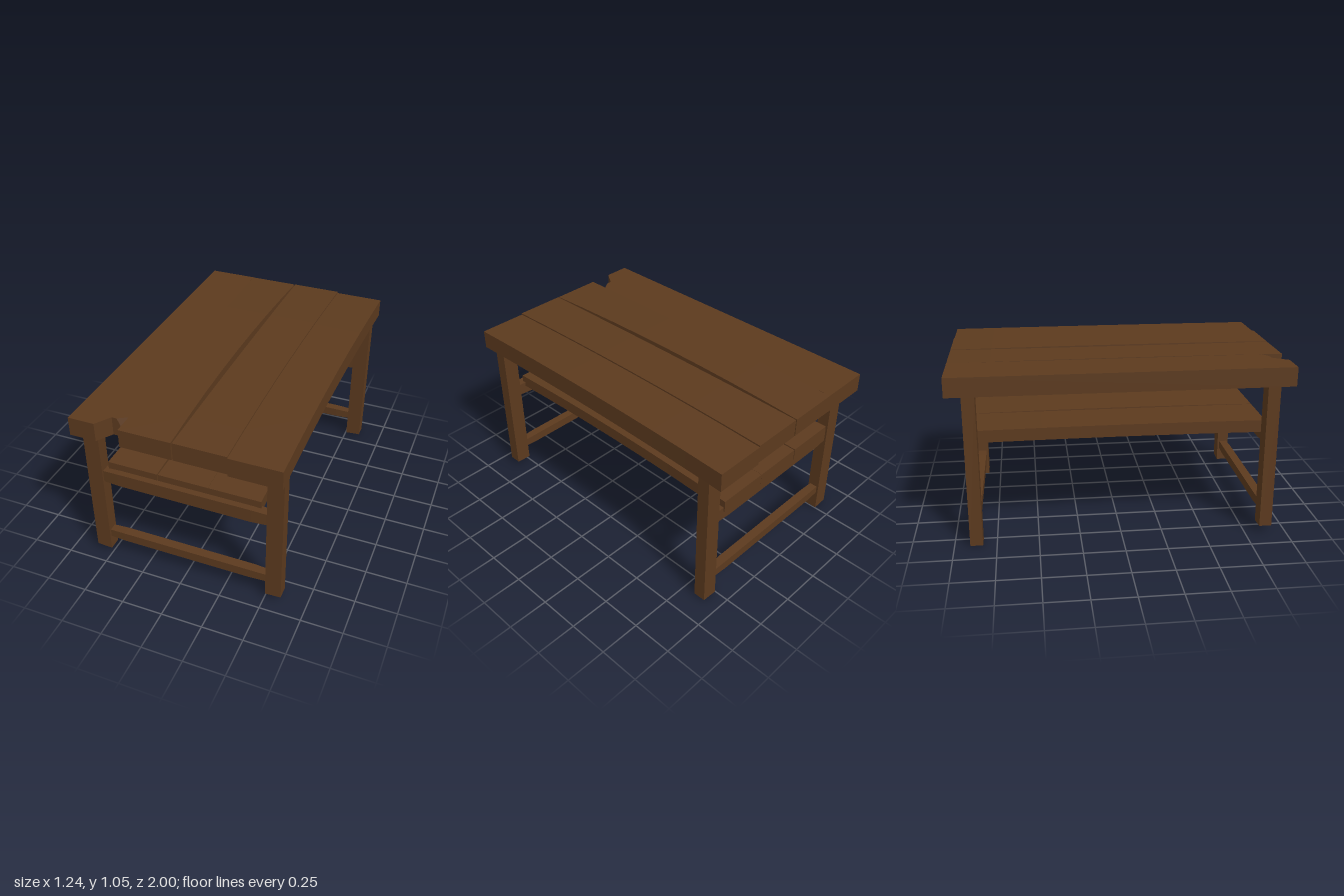
import * as THREE from 'three';

const wood = new THREE.MeshStandardMaterial({ color: 0x5c3a1e, flatShading: true });

function add(group, name, geometry) {
  const mesh = new THREE.Mesh(geometry, wood);
  mesh.name = name;
  group.add(mesh);
  return mesh;
}

// Box given by its limits, with segments along x and z, reshaped by a rule.
function beam(x, y, z, segX, segZ, rule) {
  const g = new THREE.BoxGeometry(x[1] - x[0], y[1] - y[0], z[1] - z[0], segX, 1, segZ);
  g.translate((x[0] + x[1]) / 2, (y[0] + y[1]) / 2, (z[0] + z[1]) / 2);
  const p = g.attributes.position;
  const v = new THREE.Vector3();
  for (let i = 0; i < p.count; i++) {
    v.fromBufferAttribute(p, i);
    rule(v);
    p.setXYZ(i, v.x, v.y, v.z);
  }
  g.computeVertexNormals();
  return g;
}

// Warped plank: each long edge bows sideways and the middle rises.
function plank(x, y, z, bowLeft, bowRight, lift) {
  const mid = (x[0] + x[1]) / 2;
  const zc = (z[0] + z[1]) / 2, half = (z[1] - z[0]) / 2;
  return beam(x, y, z, 1, 8, (v) => {
    const k = 1 - ((v.z - zc) / half) ** 2;
    v.x += k * (v.x < mid ? bowLeft : bowRight);
    v.y += k * lift;
  });
}

// Outer plank with a broken corner at the front.
function brokenPlank() {
  const outline = [[-0.62, 1], [-0.46, 1], [-0.4, 0.91], [-0.37, 0.91], [-0.315, 0.91], [-0.315, -1], [-0.62, -1]];
  const shape = new THREE.Shape(outline.map(([x, z]) => new THREE.Vector2(x, -z)));
  const g = new THREE.ExtrudeGeometry(shape, { depth: 0.115, bevelEnabled: false });
  g.rotateX(-Math.PI / 2).translate(0, 0.93, 0);
  const p = g.attributes.position;
  // chipped upper edge inside the break
  for (let i = 0; i < p.count; i++) {
    if (p.getY(i) > 1 && p.getX(i) > -0.32 && Math.abs(p.getZ(i) - 0.91) < 0.01) p.setZ(i, 0.875);
  }
  g.computeVertexNormals();
  return g;
}

export function createModel() {
  const table = new THREE.Group();
  table.name = 'table';

  // Table top
  const top = new THREE.Group();
  top.name = 'tableTop';
  table.add(top);
  add(top, 'brokenTopPlank', brokenPlank());
  add(top, 'topPlank', plank([-0.315, -0.004], [0.932, 1.044], [-1, 1], 0, -0.028, 0.005));
  add(top, 'topPlank', plank([0.003, 0.314], [0.932, 1.045], [-1, 1], -0.003, -0.014, 0.005));
  add(top, 'topPlank', plank([0.314, 0.617], [0.92, 1.036], [-1, 1], -0.014, -0.014, 0.005));

  // Shelf
  const shelf = new THREE.Group();
  shelf.name = 'shelf';
  table.add(shelf);
  const shelfY = [0.609, 0.683], shelfZ = [-0.905, 0.87];
  add(shelf, 'shelfPlank', plank([-0.485, -0.173], shelfY, shelfZ, 0, -0.015, 0.006));
  add(shelf, 'shelfPlank', plank([-0.167, 0.14], shelfY, shelfZ, 0, -0.012, 0.006));
  add(shelf, 'shelfPlank', plank([0.141, 0.456], shelfY, shelfZ, -0.012, -0.016, 0.005));

  // Legs and cross rails at each end
  for (const end of [
    { name: 'front', z: [0.84, 0.915], foot: 0.033 },
    { name: 'back', z: [-0.907, -0.832], foot: 0 },
  ]) {
    for (const s of [-1, 1]) {
      const x = s > 0 ? [0.504, 0.6] : [-0.6, -0.504];
      add(table, end.name + 'Leg', beam(x, [end.foot, 0.94], end.z, 1, 1, (v) => {
        // slightly slanted foot
        if (v.y < 0.5 && Math.abs(v.x) > 0.55) v.y += 0.006;
      }));
    }
    const zc = (end.z[0] + end.z[1]) / 2;
    for (const [name, y0, y1, t] of [['UpperRail', 0.555, 0.64, 0.03], ['LowerRail', 0.12, 0.178, 0.028]]) {
      add(table, end.name + name, beam([-0.51, 0.51], [y0, y1], [zc - t, zc + t], 10, 1, (v) => {
        // thinner towards both ends
        const k = Math.max(0, Math.abs(v.x) - 0.408) / 0.102;
        v.y += ((y0 + y1) / 2 - v.y) * 0.12 * k;
        v.z += (zc - v.z) * 0.12 * k;
      }));
    }
  }
  return table;
}
